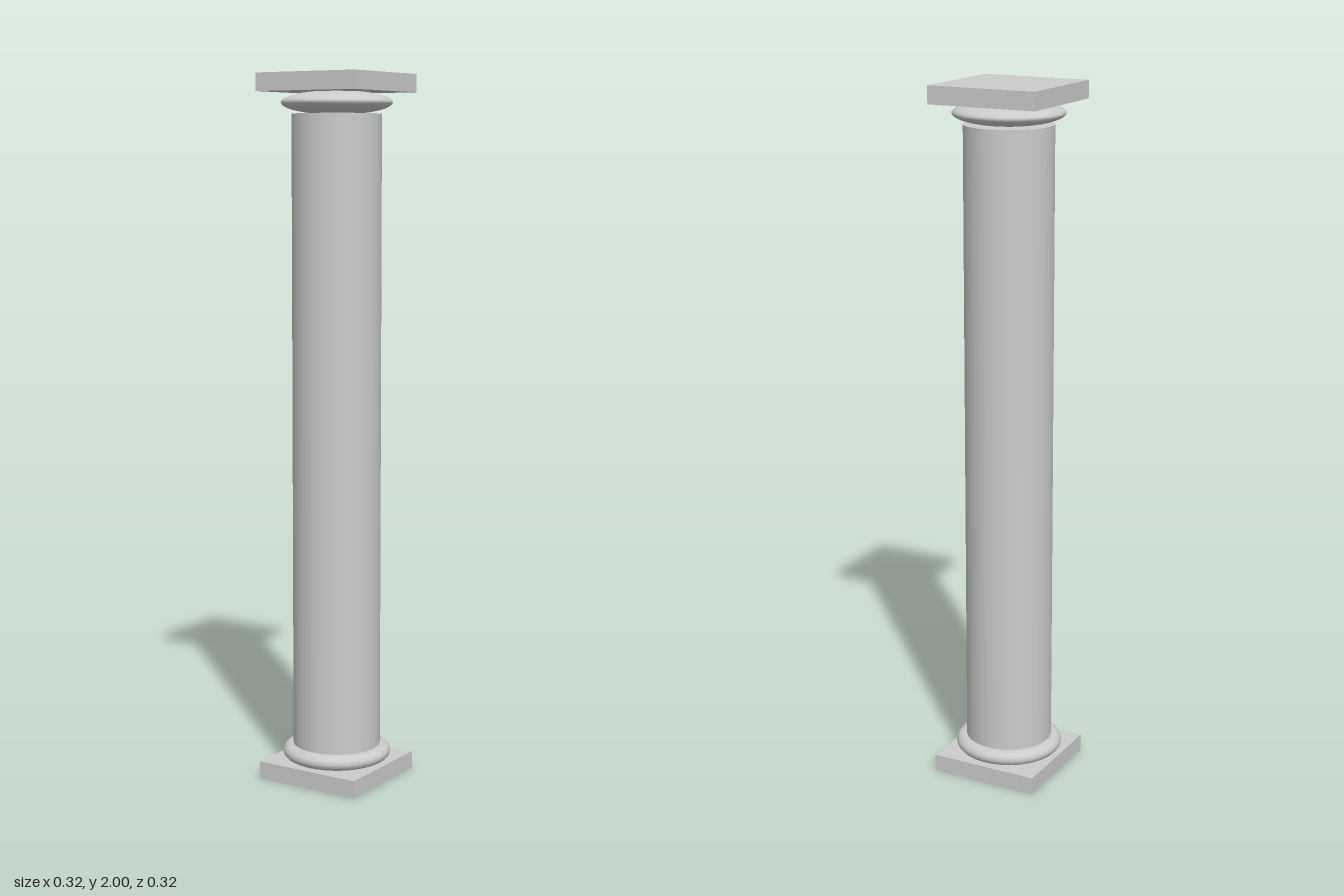
import * as THREE from 'three';

export function createModel() {
  const group = new THREE.Group();
  group.name = 'column';
  const material = new THREE.MeshStandardMaterial({ color: 0xcccccc });

  const add = (name, geometry, y) => {
    const mesh = new THREE.Mesh(geometry, material);
    mesh.name = name;
    mesh.position.y = y;
    group.add(mesh);
    return mesh;
  };

  // Square slabs at the foot and the head
  const slab = new THREE.BoxGeometry(0.32, 0.05, 0.32);
  add('plinth', slab, 0.025);
  add('abacus', slab, 1.975);

  // Rounded ring at the foot of the shaft
  const ring = new THREE.TorusGeometry(0.125, 0.03, 16, 48);
  ring.rotateX(Math.PI / 2);
  ring.scale(1, 0.75, 1);
  add('baseRing', ring, 0.0725);

  // Plain round shaft
  add('shaft', new THREE.CylinderGeometry(0.125, 0.125, 1.84, 32), 0.97);

  // Flattened cushion between shaft and abacus
  const cushion = new THREE.SphereGeometry(0.155, 48, 24);
  cushion.scale(1, 0.033 / 0.155, 1);
  add('cushion', cushion, 1.921);

  return group;
}
